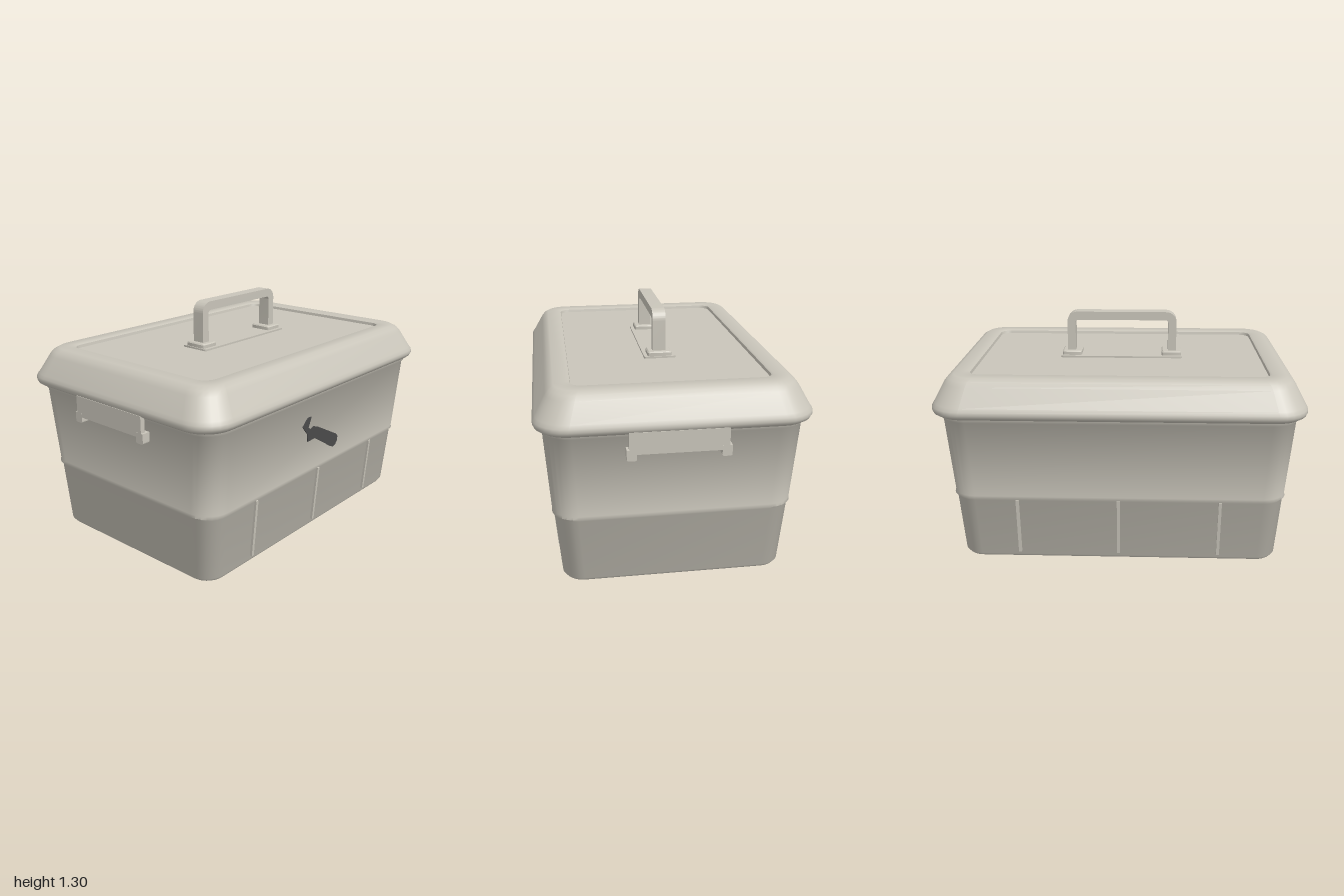
import * as THREE from 'three';
import { toCreasedNormals } from 'three/addons/utils/BufferGeometryUtils.js';

// Points of a rounded rectangle at height y; a zero-size ring collapses to a point.
function ring([hx, hz, r, y], seg = 7) {
  const pts = [];
  for (let q = 0; q < 4; q++) {
    const cx = (q === 0 || q === 3 ? 1 : -1) * (hx - r);
    const cz = (q < 2 ? 1 : -1) * (hz - r);
    for (let i = 0; i <= seg; i++) {
      const t = (q + i / seg) * Math.PI / 2;
      pts.push([cx + r * Math.cos(t), y, cz + r * Math.sin(t)]);
    }
  }
  return pts;
}

// Skin a list of [halfX, halfZ, cornerRadius, y] sections.
function loft(sections, crease) {
  const rings = sections.map((s) => ring(s));
  const pos = [];
  for (let i = 0; i < rings.length - 1; i++) {
    const lowPoint = sections[i][0] === 0, highPoint = sections[i + 1][0] === 0;
    const n = rings[i].length;
    for (let j = 0; j < n; j++) {
      const k = (j + 1) % n;
      const a = rings[i][j], b = rings[i][k], c = rings[i + 1][j], d = rings[i + 1][k];
      if (!lowPoint) pos.push(...a, ...c, ...b);
      if (!highPoint) pos.push(...b, ...c, ...d);
    }
  }
  const g = new THREE.BufferGeometry();
  g.setAttribute('position', new THREE.Float32BufferAttribute(pos, 3));
  return toCreasedNormals(g, crease);
}

export function createModel() {
  const model = new THREE.Group();
  model.name = 'toolbox';
  const plastic = new THREE.MeshStandardMaterial({ color: 0xc9c5ba });
  plastic.name = 'warm grey plastic';
  const dark = new THREE.MeshStandardMaterial({ color: 0x4c4c4c });
  dark.name = 'dark grey';

  const add = (name, geometry, x = 0, y = 0, z = 0, material = plastic, parent = model) => {
    const m = new THREE.Mesh(geometry, material);
    m.name = name;
    m.position.set(x, y, z);
    parent.add(m);
    return m;
  };

  // Open-bottomed tapering body: outside upwards, then inside back down
  add('body', loft([
    [0.872, 0.572, 0.10, 0],
    [0.886, 0.585, 0.11, 0.018],
    [0.908, 0.616, 0.12, 0.366],
    [0.92, 0.628, 0.13, 0.38],
    [0.916, 0.627, 0.13, 0.395],
    [0.947, 0.658, 0.14, 0.83],
    [0.957, 0.668, 0.15, 0.838],
    [0.957, 0.668, 0.15, 0.865],
    [0.915, 0.626, 0.11, 0.865],
    [0.88, 0.59, 0.10, 0.38],
    [0.856, 0.556, 0.09, 0.01],
    [0.872, 0.572, 0.10, 0],
  ], 1.0));

  // Lid shell with a recessed top panel
  add('lid', loft([
    [0.94, 0.645, 0.14, 0.852],
    [0.972, 0.675, 0.15, 0.853],
    [0.993, 0.696, 0.165, 0.868],
    [1.0, 0.704, 0.17, 0.885],
    [0.998, 0.702, 0.17, 0.903],
    [0.988, 0.69, 0.165, 0.92],
    [0.936, 0.636, 0.14, 1.018],
    [0.917, 0.618, 0.13, 1.041],
    [0.888, 0.594, 0.12, 1.057],
    [0.815, 0.52, 0.07, 1.057],
    [0.805, 0.51, 0.06, 1.052],
    [0.802, 0.507, 0.06, 1.036],
    [0, 0, 0, 1.036],
    [0, 0, 0, 1.01],
    [0.82, 0.525, 0.08, 1.01],
    [0.84, 0.545, 0.09, 1.03],
    [0.88, 0.585, 0.10, 1.025],
    [0.90, 0.605, 0.11, 1.005],
    [0.955, 0.658, 0.14, 0.90],
    [0.94, 0.645, 0.14, 0.852],
  ], 0.8));

  // Upright ribs on the lower front and back
  for (const side of [1, -1]) {
    for (const x of [-0.555, 0, 0.555]) {
      const rib = add('rib', new THREE.BoxGeometry(0.017, 0.335, 0.026), x, 0.207, side * 0.602);
      rib.rotation.x = side * 0.086;
    }
  }

  // Side latches with a pair of hooks each
  for (const side of [1, -1]) {
    const latch = new THREE.Group();
    latch.name = side > 0 ? 'leftLatch' : 'rightLatch';
    model.add(latch);
    add('latchPlate', new THREE.BoxGeometry(0.026, 0.115, 0.495), side * 0.984, 0.8125, 0, plastic, latch);
    for (const z of [-0.235, 0.235]) {
      const s = new THREE.Shape();
      s.moveTo(-0.025, 0.03);
      s.lineTo(-0.025, -0.017);
      s.quadraticCurveTo(-0.025, -0.027, -0.015, -0.027);
      s.lineTo(0.015, -0.027);
      s.quadraticCurveTo(0.025, -0.027, 0.025, -0.017);
      s.lineTo(0.025, 0.03);
      const g = new THREE.ExtrudeGeometry(s, { depth: 0.046, bevelEnabled: false, curveSegments: 4 });
      g.translate(0, 0, -0.023).rotateY(Math.PI / 2);
      add('latchHook', g, side * 0.975, 0.75, z, plastic, latch);
    }
  }

  // Handle base plate and feet
  add('handleBase', loft([
    [0.352, 0.087, 0.012, 1.03],
    [0.352, 0.087, 0.012, 1.046],
    [0, 0, 0, 1.046],
  ], 0.5));
  for (const x of [-0.29, 0.29]) {
    add('handleFoot', loft([
      [0.056, 0.066, 0.012, 1.04],
      [0.056, 0.066, 0.012, 1.064],
      [0.05, 0.06, 0.01, 1.07],
      [0, 0, 0, 1.07],
    ], 0.5), x);
  }

  // Carrying handle: a U-shaped bar with rounded corners
  const u = new THREE.Shape();
  u.moveTo(-0.317, 1.05);
  u.lineTo(-0.27, 1.05);
  u.lineTo(-0.27, 1.23);
  u.absarc(-0.252, 1.23, 0.018, Math.PI, Math.PI / 2, true);
  u.absarc(0.252, 1.23, 0.018, Math.PI / 2, 0, true);
  u.lineTo(0.27, 1.05);
  u.lineTo(0.317, 1.05);
  u.absarc(0.257, 1.236, 0.06, 0, Math.PI / 2, false);
  u.absarc(-0.257, 1.236, 0.06, Math.PI / 2, Math.PI, false);
  const bar = new THREE.ExtrudeGeometry(u, { depth: 0.072, bevelEnabled: false, curveSegments: 8 });
  bar.translate(0, 0, -0.036);
  add('handle', toCreasedNormals(bar, 0.6));

  // Painted tool silhouette on the sloping front
  const outline = [
    [-0.2, 0.682], [-0.168, 0.718], [-0.152, 0.727], [-0.126, 0.725], [-0.146, 0.668],
    [-0.126, 0.65], [-0.096, 0.66], [-0.048, 0.643], [0.146, 0.543], [0.163, 0.525],
    [0.163, 0.496], [0.148, 0.475], [0.125, 0.468], [0.1, 0.478], [-0.075, 0.583],
    [-0.14, 0.58], [-0.15, 0.628],
  ].map(([x, y]) => new THREE.Vector2(x, y - 0.6));
  const emblem = add('toolSilhouette',
    new THREE.ExtrudeGeometry(new THREE.Shape(outline), { depth: 0.008, bevelEnabled: false }),
    0, 0.6, 0.6385, dark);
  emblem.rotation.x = 0.071;

  return model;
}
